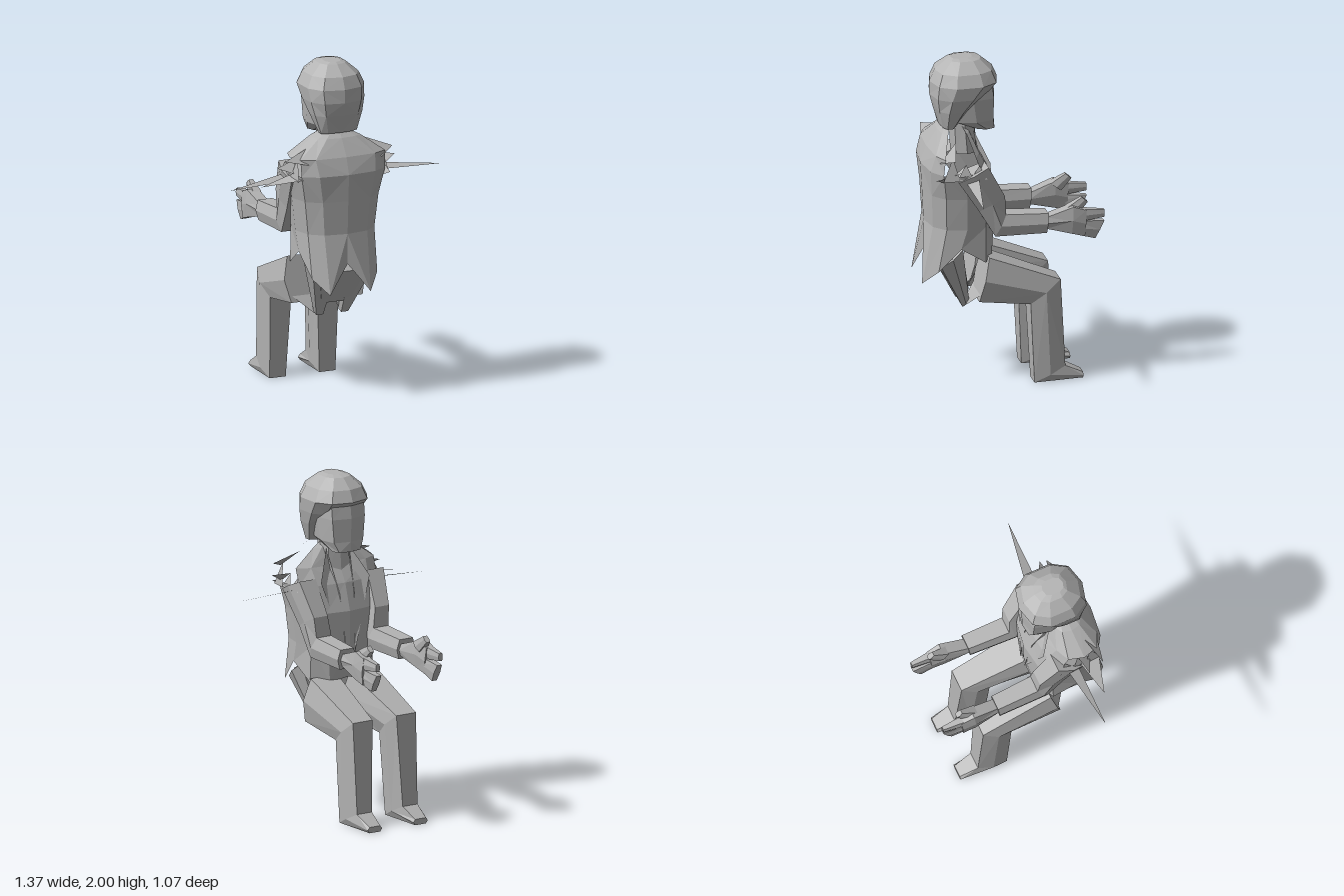
import * as THREE from 'three';

const grey = new THREE.MeshStandardMaterial({ color: 0xb4b4b4, flatShading: true });
grey.name = 'plain grey';
const greyThin = grey.clone();
greyThin.name = 'plain grey thin';
greyThin.side = THREE.DoubleSide;

function meshFrom(name, tris, material = grey) {
  const geo = new THREE.BufferGeometry();
  geo.setAttribute('position', new THREE.Float32BufferAttribute(tris.flat(2), 3));
  geo.computeVertexNormals();
  const mesh = new THREE.Mesh(geo, material);
  mesh.name = name;
  return mesh;
}

// Joins rings of points into a faceted skin; skip(band, segment) leaves openings
function loft(name, rings, { caps = true, skip = () => false } = {}) {
  let tris = [];
  const n = rings[0].length;
  for (let j = 0; j < rings.length - 1; j++) {
    for (let i = 0; i < n; i++) {
      if (skip(j, i)) continue;
      const k = (i + 1) % n, a = rings[j][i], b = rings[j][k], c = rings[j + 1][k], d = rings[j + 1][i];
      if ((i + j) % 2) tris.push([a, b, c], [a, c, d]);
      else tris.push([a, b, d], [b, c, d]);
    }
  }
  if (caps) {
    const first = rings[0], last = rings[rings.length - 1];
    for (let i = 1; i < n - 1; i++) {
      tris.push([first[0], first[i + 1], first[i]], [last[0], last[i], last[i + 1]]);
    }
  }
  // Turn the skin outward, judged from its volume about its own centre
  const all = rings.flat();
  const mid = [0, 1, 2].map((q) => all.reduce((s, p) => s + p[q], 0) / all.length);
  const v = (p) => new THREE.Vector3(p[0] - mid[0], p[1] - mid[1], p[2] - mid[2]);
  const volume = tris.reduce((s, [a, b, c]) => s + v(a).dot(v(b).cross(v(c))), 0);
  if (volume < 0) tris = tris.map(([a, b, c]) => [a, c, b]);
  return meshFrom(name, tris);
}

// Horizontal rounded ring: half width, face-side z and back z; low power is boxier
function oval(y, hw, zf, zb, n = 12, power = 0.8) {
  const soft = (t) => Math.sign(t) * Math.abs(t) ** power;
  return Array.from({ length: n }, (_, i) => {
    const a = (i / n) * Math.PI * 2;
    return [hw * soft(Math.sin(a)), y, (zf + zb) / 2 - ((zb - zf) / 2) * soft(Math.cos(a))];
  });
}

// Six-sided limb section between two [y, z] points, x0 to x1, on side s
function slab(s, x0, x1, [ya, za], [yb, zb]) {
  const e = (x1 - x0) * 0.13, ym = (ya + yb) / 2, zm = (za + zb) / 2;
  return [[x0 + e, ya, za], [x1 - e, ya, za], [x1, ym, zm], [x1 - e, yb, zb], [x0 + e, yb, zb], [x0, ym, zm]]
    .map(([x, y, z]) => [s * x, y, z]);
}

export function createModel() {
  const model = new THREE.Group();
  model.name = 'seatedFigure';
  const body = new THREE.Group();
  body.name = 'body';
  body.position.x = -0.02;
  model.add(body);

  // Jacket with a split, pointed hem; the shoulders are partly open
  const half = [[0, 0.8, 0.1], [0.12, 0.78, 0.11], [0.22, 0.78, 0.17], [0.235, 0.88, 0.32],
    [0.21, 0.74, 0.45], [0.13, 0.65, 0.53], [0, 0.82, 0.49]];
  const hem = [...half, ...half.slice(1, 6).reverse().map(([x, y, z]) => [-x, y, z])];
  body.add(loft('jacket', [
    hem,
    oval(1.0, 0.24, 0.08, 0.49),
    oval(1.2, 0.265, 0.08, 0.5),
    oval(1.36, 0.3, 0.13, 0.51, 12, 0.75),
    oval(1.46, 0.3, 0.19, 0.475, 12, 0.65),
    oval(1.56, 0.15, 0.23, 0.41, 12, 0.7),
    oval(1.6, 0.07, 0.26, 0.37),
  ], { caps: false, skip: (j, i) => (j >= 3 && (i === 2 || i === 3)) || (j === 3 && (i === 8 || i === 9)) }));

  // Trouser seat between the thighs
  body.add(loft('seat', [
    slab(1, -0.2, 0.2, [0.88, 0.3], [0.76, 0.44]),
    slab(1, -0.12, 0.12, [0.57, 0.24], [0.55, 0.32]),
  ]));

  // Neck, face and hair
  body.add(loft('neck', [oval(1.42, 0.1, 0.17, 0.33, 8), oval(1.64, 0.085, 0.19, 0.34, 8)]));
  body.add(loft('face', [
    oval(1.56, 0.09, 0.07, 0.19, 8, 0.6),
    oval(1.62, 0.125, 0.07, 0.33, 8, 0.6),
    oval(1.76, 0.14, 0.065, 0.38, 8, 0.6),
    oval(1.88, 0.14, 0.08, 0.38, 8, 0.6),
  ]));
  body.add(loft('hair', [
    oval(1.59, 0.12, 0.31, 0.4, 10),
    oval(1.7, 0.158, 0.22, 0.435, 10),
    oval(1.78, 0.178, 0.13, 0.455, 10),
    oval(1.86, 0.188, 0.05, 0.455, 10),
    oval(1.93, 0.155, 0.08, 0.425, 10),
    oval(1.99, 0.085, 0.15, 0.35, 10),
    oval(2.0, 0.05, 0.2, 0.33, 10),
  ]));

  for (const s of [1, -1]) {
    const side = s > 0 ? 'left' : 'right';

    // Bent leg running into a pointed shoe
    body.add(loft(side + 'Leg', [
      slab(s, 0.01, 0.262, [0.81, 0.15], [0.54, 0.21]),
      slab(s, 0.06, 0.245, [0.635, -0.28], [0.495, -0.1]),
      slab(s, 0.09, 0.23, [0.09, -0.31], [0, -0.125]),
      slab(s, 0.11, 0.21, [0.035, -0.42], [0, -0.42]),
    ]));
    // Low point of the trousers behind each thigh
    body.add(loft(side + 'SeatPoint', [
      slab(s, 0.02, 0.22, [0.86, 0.3], [0.76, 0.43]),
      slab(s, 0.05, 0.11, [0.5, 0.24], [0.47, 0.28]),
    ]));
    body.add(loft(side + 'Hip', [
      slab(s, 0.015, 0.255, [0.7, 0.14], [0.58, 0.2]),
      slab(s, 0.05, 0.12, [0.53, 0.21], [0.48, 0.27]),
    ]));

    // Sleeve bent at the elbow
    body.add(loft(side + 'Sleeve', [
      slab(s, 0.16, 0.315, [1.4, 0.17], [1.32, 0.35]),
      slab(s, 0.15, 0.28, [1.2, 0.065], [1.12, 0.22]),
      slab(s, 0.13, 0.27, [1.08, 0.055], [0.95, 0.12]),
      slab(s, 0.145, 0.27, [1.065, -0.2], [0.945, -0.19]),
    ]));

    // Open hand: palm, two finger blocks and a thumb
    const hand = new THREE.Group();
    hand.name = side + 'Hand';
    hand.add(
      loft('palm', [
        slab(s, 0.16, 0.25, [1.035, -0.19], [0.965, -0.19]),
        slab(s, 0.17, 0.265, [1.09, -0.35], [0.925, -0.34]),
        slab(s, 0.185, 0.255, [1.06, -0.43], [0.9, -0.42]),
      ]),
      loft('upperFingers', [
        slab(s, 0.19, 0.255, [1.07, -0.38], [0.99, -0.38]),
        slab(s, 0.205, 0.235, [1.05, -0.54], [1.005, -0.54]),
      ]),
      loft('lowerFingers', [
        slab(s, 0.185, 0.255, [1.0, -0.36], [0.92, -0.35]),
        slab(s, 0.19, 0.235, [0.98, -0.54], [0.875, -0.485]),
      ]),
      loft('thumb', [
        slab(s, 0.165, 0.235, [1.08, -0.32], [1.03, -0.38]),
        slab(s, 0.18, 0.215, [1.13, -0.41], [1.1, -0.445]),
      ]),
    );
    body.add(hand);

    // Raised lapel on the chest
    body.add(meshFrom(side + 'Lapel', [
      [[s * 0.08, 1.56, 0.21], [s * 0.17, 1.38, 0.13], [s * 0.03, 0.95, 0.07]],
      [[s * 0.08, 1.56, 0.21], [s * 0.05, 1.3, 0.11], [s * 0.03, 0.95, 0.07]],
    ], greyThin));

    // Jagged shoulder seam
    const peaks = [[0.18, 1.41], [0.26, 1.42], [0.34, 1.47]];
    body.add(meshFrom(side + 'ShoulderSeam', peaks.map(([z, y]) => [
      [s * 0.3, 1.33, z], [s * 0.29, 1.33, z + 0.1], [s * 0.27, y, z + 0.04],
    ]), greyThin));
  }

  // Long thin splinters at the shoulders: base, base, tip
  model.add(meshFrom('shoulderSplinters', [
    [[0.23, 1.34, 0.22], [0.25, 1.31, 0.3], [0.68, 1.3, 0.3]],
    [[-0.27, 1.34, 0.22], [-0.29, 1.31, 0.3], [-0.69, 1.29, 0.3]],
    [[-0.3, 1.35, 0.31], [-0.28, 1.34, 0.44], [-0.52, 1.31, 0.37]],
    [[-0.2, 1.52, 0.36], [-0.25, 1.43, 0.45], [-0.39, 1.46, 0.42]],
    [[0.16, 1.53, 0.34], [0.22, 1.43, 0.45], [0.32, 1.47, 0.38]],
    [[0.25, 1.42, 0.3], [0.26, 1.36, 0.38], [0.35, 1.41, 0.35]],
    [[-0.28, 1.43, 0.3], [-0.29, 1.36, 0.38], [-0.4, 1.4, 0.33]],
    [[0.22, 1.3, 0.4], [0.27, 1.36, 0.38], [0.26, 1.34, 0.48]],
  ], greyThin));

  return model;
}
